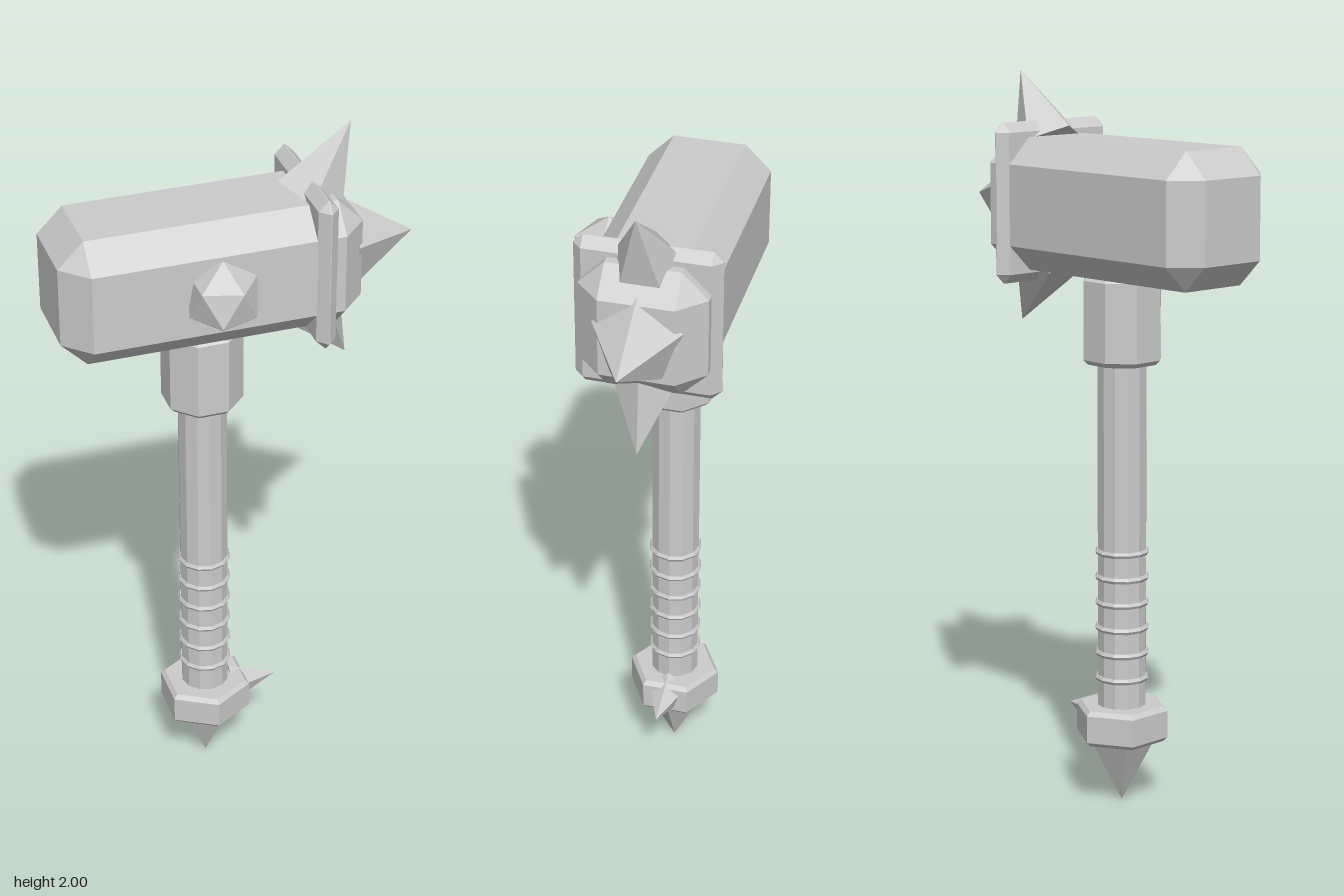
import * as THREE from 'three';
import { ConvexGeometry } from 'three/addons/geometries/ConvexGeometry.js';

const AX = -0.09, AZ = -0.04, HEAD_Y = 1.65;

export function createModel() {
  const model = new THREE.Group();
  model.name = 'warHammer';
  const material = new THREE.MeshStandardMaterial({ color: 0xcccccc, flatShading: true });

  const add = (name, geometry, x, y, z = AZ, rotZ = 0) => {
    const mesh = new THREE.Mesh(geometry, material);
    mesh.name = name;
    mesh.position.set(x, y, z);
    mesh.rotation.z = rotZ;
    model.add(mesh);
    return mesh;
  };

  // Box with every edge and corner cut by the bevel b
  const bevelBox = (w, h, d, b) => {
    const points = [];
    for (const sx of [-1, 1]) for (const sy of [-1, 1]) for (const sz of [-1, 1]) {
      const x = w / 2, y = h / 2, z = d / 2;
      points.push(
        new THREE.Vector3(sx * x, sy * (y - b), sz * (z - b)),
        new THREE.Vector3(sx * (x - b), sy * y, sz * (z - b)),
        new THREE.Vector3(sx * (x - b), sy * (y - b), sz * z));
    }
    return new ConvexGeometry(points);
  };

  // Upright prism with bevelled rims
  const bevelPrism = (r, y0, y1, b, sides, phase) => new THREE.LatheGeometry([
    [0, y0], [r - b, y0], [r, y0 + b], [r, y1 - b], [r - b, y1], [0, y1],
  ].map(([x, y]) => new THREE.Vector2(x, y)), sides, phase);

  // Five-sided spike standing on its base, one corner towards -x
  const spike = (r, h) =>
    new THREE.ConeGeometry(r, h, 5, 1, false, -Math.PI / 2).translate(0, h / 2, 0);

  // Head and its band
  add('head', bevelBox(0.82, 0.36, 0.34, 0.07), AX, HEAD_Y);
  add('headBand', bevelBox(0.055, 0.435, 0.39, 0.026), 0.198, 1.653);

  // Head spikes
  add('faceSpike', spike(0.125, 0.193), 0.307, HEAD_Y, AZ, -Math.PI / 2);
  add('upperSpike', spike(0.1, 0.222), 0.207, 1.808, AZ, -Math.PI / 6);
  add('lowerSpike', spike(0.1, 0.222), 0.207, 1.5, AZ, -Math.PI * 5 / 6);

  // Faceted stud on the front of the head
  add('stud', new THREE.IcosahedronGeometry(0.102, 0), AX, 1.655, 0.145,
    -Math.atan(1 / ((1 + Math.sqrt(5)) / 2)));

  // Handle
  add('collar', bevelPrism(0.111, 1.235, 1.475, 0.013, 8, Math.PI / 8), AX, 0);
  add('shaft', new THREE.CylinderGeometry(0.068, 0.068, 1.04, 12), AX, 0.76);
  for (let i = 0; i < 6; i++) {
    const ring = new THREE.TorusGeometry(0.066, 0.009, 6, 12).rotateX(Math.PI / 2);
    add('gripRing', ring, AX, 0.358 + i * 0.0713);
  }

  // Pommel
  add('pommel', bevelPrism(0.131, 0.18, 0.28, 0.012, 6, 0), AX, 0);
  add('pommelSideSpike', spike(0.06, 0.142), -0.018, 0.235, AZ, -Math.PI / 2);
  add('pommelTip', spike(0.095, 0.185), AX, 0.185, AZ, Math.PI);

  return model;
}
